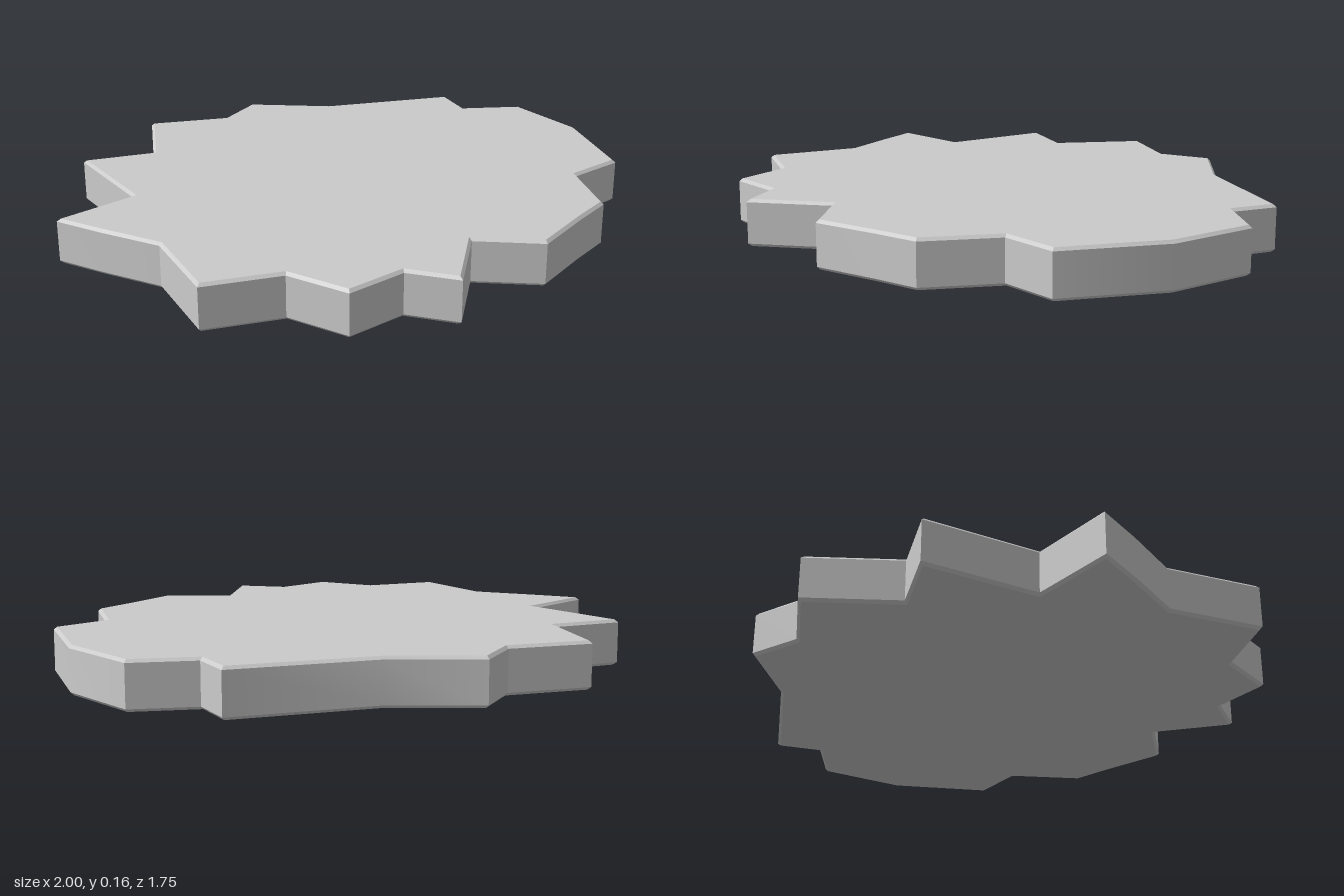
import * as THREE from 'three';
import { toCreasedNormals } from 'three/addons/utils/BufferGeometryUtils.js';

// Jagged outline as seen from above: [x, z]
const OUTLINE = [
  [-0.16, -0.88], [0.14, -0.78], [0.635, -0.78], [0.66, -0.62], [0.88, -0.585],
  [1, -0.29], [1, 0.08], [0.81, 0.17], [0.795, 0.435], [0.67, 0.535],
  [0.49, 0.69], [0.265, 0.61], [0.145, 0.875], [-0.01, 0.78], [-0.205, 0.875],
  [-0.36, 0.71], [-0.63, 0.725], [-0.7, 0.4], [-0.87, 0.25], [-1, 0.125],
  [-0.735, -0.02], [-0.87, -0.4], [-0.615, -0.42], [-0.58, -0.745], [-0.29, -0.74],
];
const HEIGHT = 0.16;
const BEVEL = 0.01;

export function createModel() {
  const group = new THREE.Group();
  group.name = 'jaggedSlab';

  // Flat slab with narrow chamfers along its top and bottom edges
  const shape = new THREE.Shape(OUTLINE.map(([x, z]) => new THREE.Vector2(x, -z)));
  const geometry = new THREE.ExtrudeGeometry(shape, {
    depth: HEIGHT - 2 * BEVEL,
    bevelEnabled: true,
    bevelThickness: BEVEL,
    bevelSize: BEVEL,
    bevelOffset: -BEVEL,
    bevelSegments: 1,
  });
  geometry.rotateX(-Math.PI / 2);
  geometry.translate(0, BEVEL, 0);

  // Shallow side corners blend, the rest stay sharp
  const slab = new THREE.Mesh(
    toCreasedNormals(geometry, THREE.MathUtils.degToRad(28)),
    new THREE.MeshStandardMaterial({ color: 0xcccccc }),
  );
  slab.name = 'slab';
  group.add(slab);
  return group;
}
